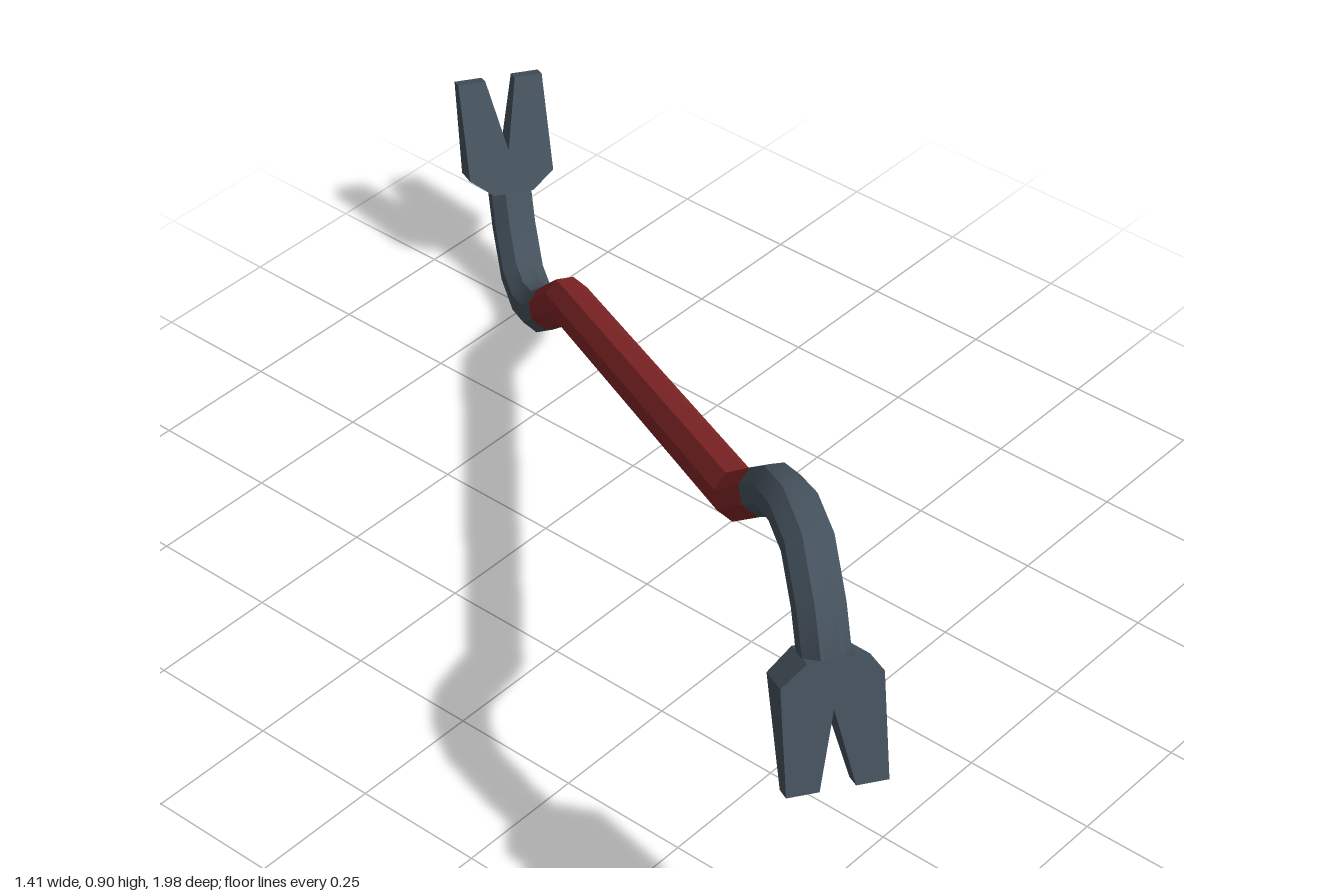
import * as THREE from 'three';
import { toCreasedNormals } from 'three/addons/utils/BufferGeometryUtils.js';

const HEIGHT = 0.905, SIDES = 8, RADIUS = 0.044;

// Centre line of one half, from the handle bend to the claw (distance along bar, height)
const HALF = [
  [0.575, 0.25], [0.715, 0.132], [0.785, 0.076], [0.868, 0.046],
  [0.948, 0.056], [1.012, 0.13], [1.045, 0.2], [1.056, 0.232],
];

// Full centre line: the other half is the same turned by half a circle
const PATH = [
  ...HALF.map(([u, y]) => [-u, HEIGHT - y]).reverse(),
  ...HALF,
].map(([u, y]) => new THREE.Vector2(u, y));

// Mitred eight-sided tube between two points of the centre line
function barSection(first, last) {
  const pos = [], index = [];
  for (let i = first; i <= last; i++) {
    const p = PATH[i];
    const a = p.clone().sub(PATH[Math.max(i - 1, 0)]).normalize();
    const b = PATH[Math.min(i + 1, PATH.length - 1)].clone().sub(p).normalize();
    const t = a.clone().add(b).normalize();
    const end = i === PATH.length - 1;
    const r = end ? RADIUS * 0.8 : RADIUS;
    const miter = end ? 1 : 1 / Math.max(t.dot(b), 0.5);
    for (let k = 0; k < SIDES; k++) {
      const ang = ((k + 0.5) / SIDES) * Math.PI * 2;
      const n = Math.cos(ang) * r * miter;
      pos.push(p.x - t.y * n, p.y + t.x * n, Math.sin(ang) * r);
    }
  }
  for (let i = 0; i < last - first; i++) {
    for (let k = 0; k < SIDES; k++) {
      const k2 = (k + 1) % SIDES;
      const a = i * SIDES + k, b = i * SIDES + k2;
      index.push(a, b, b + SIDES, a, b + SIDES, a + SIDES);
    }
  }
  const g = new THREE.BufferGeometry();
  g.setAttribute('position', new THREE.Float32BufferAttribute(pos, 3));
  g.setIndex(index);
  return g;
}

// Forked claw: flat outline with a V notch, thinned towards the tip
function clawGeometry() {
  const L = 0.228, W = 0.085;
  const shape = new THREE.Shape([
    [-0.04, 0], [0.04, 0], [W, 0.035], [W, L], [0.03, L],
    [0, L * 0.38], [-0.03, L], [-W, L], [-W, 0.035],
  ].map(([x, y]) => new THREE.Vector2(x, y)));
  const g = new THREE.ExtrudeGeometry(shape, { depth: 1, bevelEnabled: false });
  const p = g.attributes.position;
  const base = new THREE.Vector2(1.045, 0.197);
  const dir = new THREE.Vector2(0.33, 0.944).normalize();
  for (let i = 0; i < p.count; i++) {
    const s = p.getX(i), t = p.getY(i);
    const d = (p.getZ(i) - 0.5) * THREE.MathUtils.lerp(0.085, 0.036, t / L);
    p.setXYZ(i, base.x + dir.x * t - dir.y * d, base.y + dir.y * t + dir.x * d, s);
  }
  g.computeVertexNormals();
  return g;
}

export function createModel() {
  const steel = new THREE.MeshStandardMaterial({ color: 0x46535e });
  steel.name = 'darkSteel';
  const red = new THREE.MeshStandardMaterial({ color: 0x842626 });
  red.name = 'redPaint';

  const model = new THREE.Group();
  model.name = 'pryBar';
  const add = (parent, name, geometry, material) => {
    const mesh = new THREE.Mesh(geometry, material);
    mesh.name = name;
    parent.add(mesh);
  };

  const n = HALF.length;

  // Painted handle with a bend near each end
  const handle = barSection(n - 2, n + 1).toNonIndexed();
  handle.computeVertexNormals();
  add(model, 'handle', handle, red);

  // Hooked ends, the second turned by half a circle about the bar's centre
  const neck = toCreasedNormals(barSection(n + 1, 2 * n - 1), 0.65);
  const claw = clawGeometry();
  ['lowerHook', 'upperHook'].forEach((name, i) => {
    const hook = new THREE.Group();
    hook.name = name;
    add(hook, 'neck', neck, steel);
    add(hook, 'claw', claw, steel);
    if (i === 1) {
      hook.rotation.z = Math.PI;
      hook.position.y = HEIGHT;
    }
    model.add(hook);
  });

  // The bar lies diagonally across the ground plane
  model.rotation.y = THREE.MathUtils.degToRad(56);
  const root = new THREE.Group();
  root.name = 'crowbar';
  root.add(model);
  return root;
}
